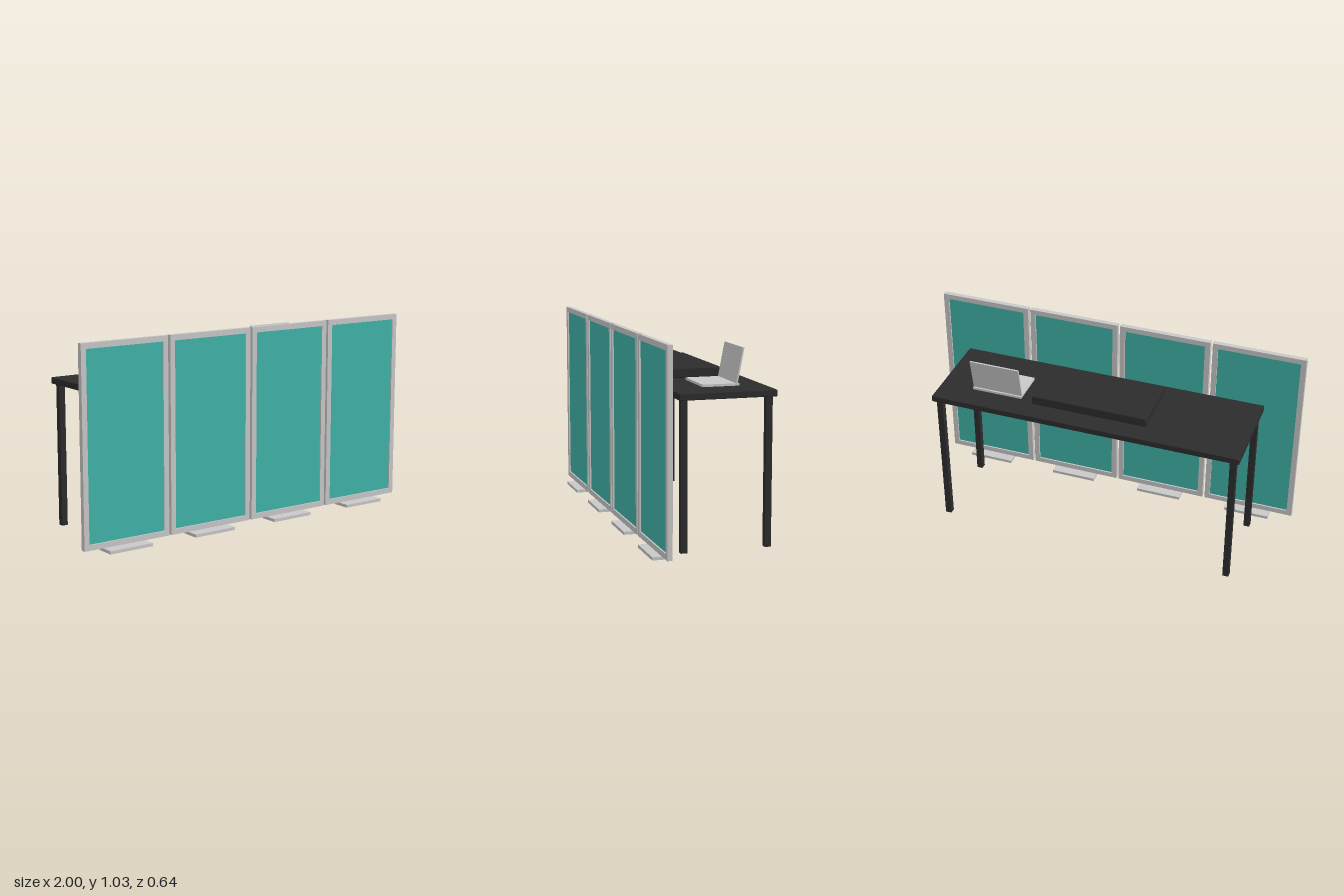
import * as THREE from 'three';
import { RoundedBoxGeometry } from 'three/addons/geometries/RoundedBoxGeometry.js';

const mat = (name, color) => {
  const m = new THREE.MeshStandardMaterial({ color });
  m.name = name;
  return m;
};

export function createModel() {
  const black = mat('matte black', 0x2c2c2c);
  const grey = mat('light grey', 0xc8c8c8);
  const teal = mat('teal fabric', 0x40b3a8);

  const add = (parent, name, geometry, material, x, y, z) => {
    const mesh = new THREE.Mesh(geometry, material);
    mesh.name = name;
    mesh.position.set(x, y, z);
    parent.add(mesh);
    return mesh;
  };
  const group = (parent, name) => {
    const g = new THREE.Group();
    g.name = name;
    parent.add(g);
    return g;
  };

  const model = new THREE.Group();
  model.name = 'deskWithScreens';

  // Four framed divider panels, each over a flat foot
  const W = 0.49, Y0 = 0.026, Y1 = 1.03, H = Y1 - Y0, D = 0.026, B = 0.028, Z = 0.273;
  const outline = new THREE.Shape([
    new THREE.Vector2(-W / 2, 0), new THREE.Vector2(W / 2, 0),
    new THREE.Vector2(W / 2, H), new THREE.Vector2(-W / 2, H),
  ]);
  outline.holes.push(new THREE.Path([
    new THREE.Vector2(-W / 2 + B, B), new THREE.Vector2(-W / 2 + B, H - B),
    new THREE.Vector2(W / 2 - B, H - B), new THREE.Vector2(W / 2 - B, B),
  ]));
  const frameGeometry = new THREE.ExtrudeGeometry(outline, { depth: D, bevelEnabled: false });
  const fabricGeometry = new THREE.BoxGeometry(W - 2 * B, H - 2 * B, 0.01);
  const footGeometry = new THREE.BoxGeometry(0.245, 0.016, 0.1);
  for (let i = 0; i < 4; i++) {
    const panel = group(model, 'dividerPanel');
    panel.position.x = (i - 1.5) * 0.503;
    add(panel, 'panelFrame', frameGeometry, grey, 0, Y0, Z - D / 2);
    add(panel, 'panelFabric', fabricGeometry, teal, 0, Y0 + H / 2, Z);
    add(panel, 'panelFoot', footGeometry, grey, 0, 0.008, 0.272);
  }

  // Table with four square legs
  const table = group(model, 'table');
  add(table, 'tableTop', new RoundedBoxGeometry(1.64, 0.033, 0.49, 2, 0.004), black, 0, 0.7585, -0.075);
  const legGeometry = new THREE.BoxGeometry(0.032, 0.745, 0.032);
  for (const x of [-0.785, 0.785]) {
    for (const z of [0.141, -0.287]) add(table, 'tableLeg', legGeometry, black, x, 0.3725, z);
  }

  // Flat equipment case in the middle of the table
  add(model, 'equipmentCase', new RoundedBoxGeometry(0.615, 0.05, 0.313, 2, 0.006), black, -0.002, 0.799, -0.058);

  // Open laptop, lid leaning back
  const laptop = group(model, 'laptop');
  laptop.position.set(0.508, 0.775, 0);
  add(laptop, 'laptopBase', new THREE.BoxGeometry(0.268, 0.012, 0.19), grey, 0, 0.006, -0.096);
  const lid = add(laptop, 'laptopLid', new THREE.BoxGeometry(0.268, 0.182, 0.008), grey, 0, 0.096, -0.194);
  lid.rotation.x = -0.19;

  return model;
}
